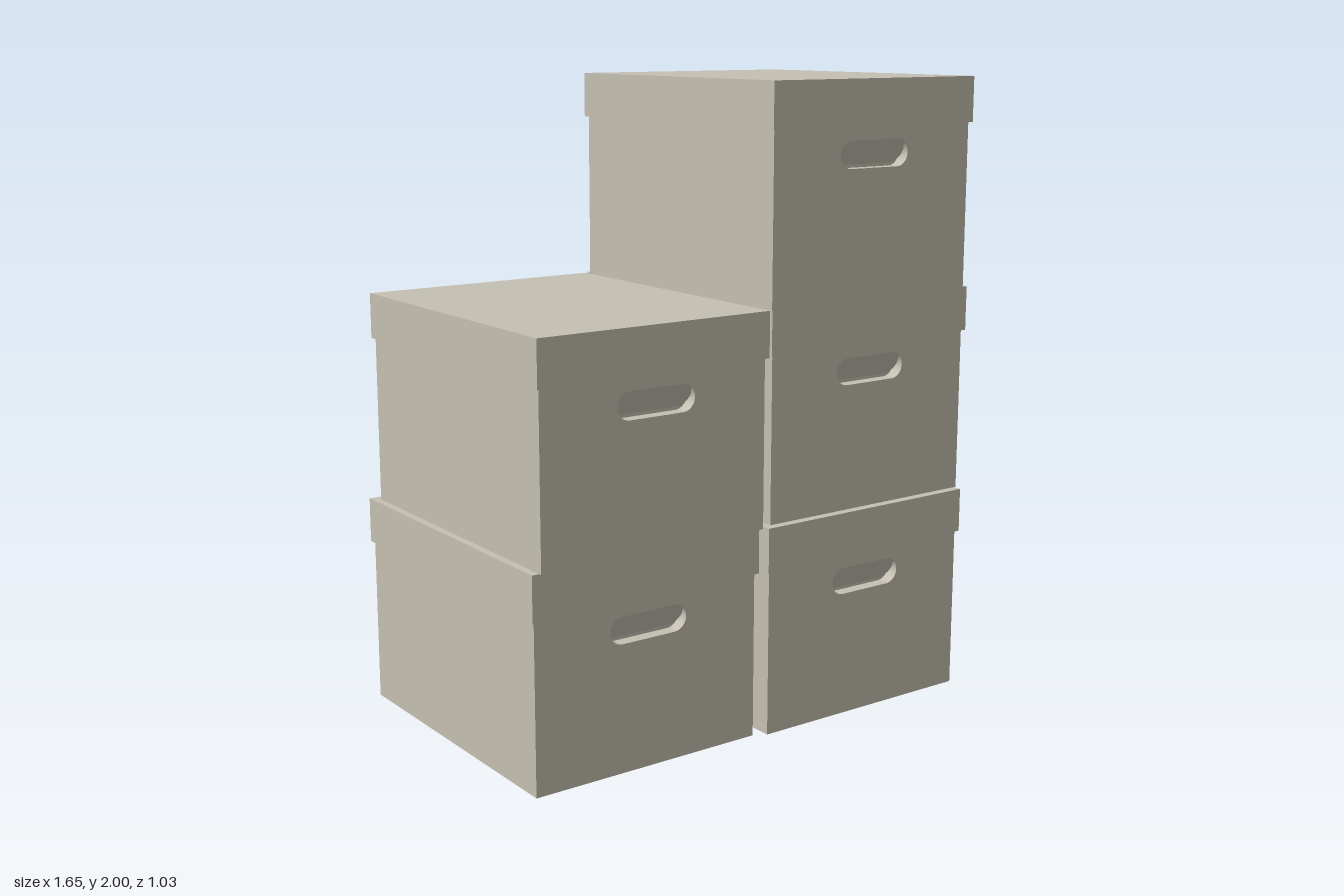
import * as THREE from 'three';

const BOX_H = 2 / 3;
const BODY = { w: 0.783, h: 0.53, d: 0.98 };
const LID = { w: 0.802, h: 0.142, d: 1.0 };
const WALL = 0.04; // depth of the handle recess
const SLOT = { w: 0.27, h: 0.084, y: 0.441 };

// Rounded slot outline, centred on (0, cy)
function slotPath(path, cy) {
  const r = SLOT.h / 2, s = SLOT.w / 2 - r;
  path.moveTo(-s, cy - r);
  path.lineTo(s, cy - r);
  path.absarc(s, cy, r, -Math.PI / 2, Math.PI / 2, false);
  path.lineTo(-s, cy + r);
  path.absarc(-s, cy, r, Math.PI / 2, Math.PI * 1.5, false);
  return path;
}

export function createModel() {
  const cardboard = new THREE.MeshStandardMaterial({ color: 0xc4bfb1 });
  cardboard.name = 'cardboard';
  const flapCardboard = new THREE.MeshStandardMaterial({ color: 0xc4bfb1, side: THREE.DoubleSide });
  flapCardboard.name = 'flap cardboard';

  // End panel with the handle hole cut through
  const panel = new THREE.Shape();
  panel.moveTo(-BODY.w / 2, 0);
  panel.lineTo(BODY.w / 2, 0);
  panel.lineTo(BODY.w / 2, BODY.h);
  panel.lineTo(-BODY.w / 2, BODY.h);
  panel.closePath();
  panel.holes.push(slotPath(new THREE.Path(), SLOT.y));
  const panelGeo = new THREE.ExtrudeGeometry(panel, { depth: WALL, bevelEnabled: false, curveSegments: 10 });

  // Handle flap, hanging from its top edge and pushed inwards at the bottom
  const flapGeo = new THREE.ShapeGeometry(slotPath(new THREE.Shape(), -SLOT.h / 2), 10);
  flapGeo.rotateX(0.48);

  const coreGeo = new THREE.BoxGeometry(BODY.w, BODY.h, BODY.d - 2 * WALL);
  const lidGeo = new THREE.BoxGeometry(LID.w, LID.h, LID.d);

  function addMesh(parent, name, geo, mat, x, y, z) {
    const mesh = new THREE.Mesh(geo, mat);
    mesh.name = name;
    mesh.position.set(x, y, z);
    parent.add(mesh);
  }

  function makeBox() {
    const box = new THREE.Group();
    addMesh(box, 'body', coreGeo, cardboard, 0, BODY.h / 2, 0);
    addMesh(box, 'lid', lidGeo, cardboard, 0, BOX_H - LID.h / 2, 0);
    // Same end on front and back
    for (const [name, turn] of [['frontEnd', 0], ['backEnd', Math.PI]]) {
      const end = new THREE.Group();
      end.name = name;
      end.rotation.y = turn;
      addMesh(end, 'endPanel', panelGeo, cardboard, 0, 0, BODY.d / 2 - WALL);
      addMesh(end, 'handleFlap', flapGeo, flapCardboard, 0, SLOT.y + SLOT.h / 2, BODY.d / 2 - 0.001);
      box.add(end);
    }
    return box;
  }

  // Stack: name, x, level, z, slight turn
  const stack = [
    ['bottomRightBox', -0.422, 0, -0.01, 0.007],
    ['upperRightBox', -0.407, 1, 0.012, 0.005],
    ['bottomLeftBox', 0.401, 0, 0.006, 0.007],
    ['middleLeftBox', 0.418, 1, -0.013, 0.008],
    ['topLeftBox', 0.401, 2, 0.006, 0.007],
  ];
  const model = new THREE.Group();
  model.name = 'stackedStorageBoxes';
  for (const [name, x, level, z, turn] of stack) {
    const box = makeBox();
    box.name = name;
    box.position.set(x, level * BOX_H, z);
    box.rotation.y = turn;
    model.add(box);
  }
  return model;
}
